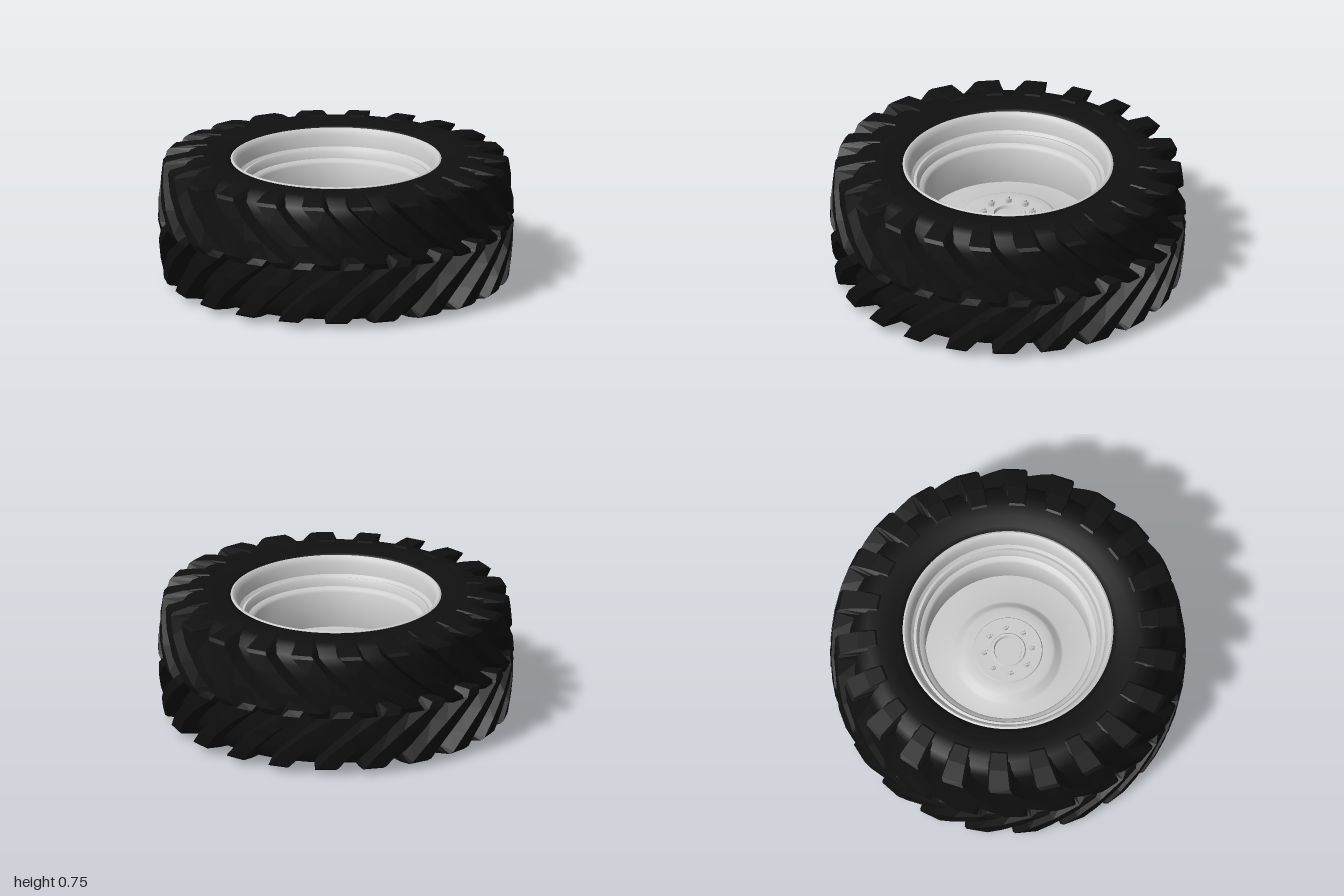
import * as THREE from 'three';
import { toCreasedNormals } from 'three/addons/utils/BufferGeometryUtils.js';

const MID = 0.3725; // mid height of the wheel, which lies flat on its side
const LUGS = 22;

const rubber = new THREE.MeshStandardMaterial({ color: 0x101010 });
const rubberFlat = new THREE.MeshStandardMaterial({ color: 0x101010, flatShading: true });
const steel = new THREE.MeshStandardMaterial({ color: 0xcccccc });

const lathe = (pts, segments) =>
  new THREE.LatheGeometry(pts.map(([r, y]) => new THREE.Vector2(r, y)), segments);

// Mirrors a half profile [radius, height above the middle] into a bottom-to-top one
function mirrorProfile(half) {
  const top = half.map(([r, h]) => [r, MID + h]);
  const bottom = half.map(([r, h]) => [r, MID - h]).reverse();
  return [...bottom, ...top];
}

// Lug stations from the tread centre over the shoulder:
// angle, base radius, base height, top radius, top height, base half width, top half width
const STATIONS = [
  [0.03, 0.885, -0.035, 0.985, -0.02, 0.075, 0.045],
  [0.0, 0.885, 0.01, 1.0, 0.015, 0.085, 0.05],
  [-0.15, 0.885, 0.12, 0.996, 0.12, 0.085, 0.055],
  [-0.28, 0.875, 0.23, 0.985, 0.235, 0.085, 0.06],
  [-0.36, 0.85, 0.3, 0.972, 0.325, 0.085, 0.062],
  [-0.375, 0.82, 0.335, 0.955, 0.341, 0.085, 0.062],
  [-0.385, 0.77, 0.355, 0.85, 0.362, 0.085, 0.06],
  [-0.39, 0.72, 0.358, 0.75, 0.3725, 0.08, 0.055],
];

// One curved tread bar; side is +1 for the upper row and -1 for the lower row
function lugGeometry(side) {
  const pos = [], index = [];
  const add = (a, r, h) => pos.push(Math.sin(a) * r, MID + side * h, Math.cos(a) * r);
  const quad = (a, b, c, d) =>
    side > 0 ? index.push(a, b, c, a, c, d) : index.push(a, c, b, a, d, c);
  STATIONS.forEach(([a, rb, hb, rt, ht, wb, wt], i) => {
    add(a - wb, rb, hb);
    add(a - wt, rt, ht);
    add(a + wt, rt, ht);
    add(a + wb, rb, hb);
    if (i === 0) return;
    const p = (i - 1) * 4, q = i * 4;
    for (let j = 0; j < 3; j++) quad(p + j, p + j + 1, q + j + 1, q + j);
  });
  const last = (STATIONS.length - 1) * 4;
  quad(3, 2, 1, 0);
  quad(last, last + 1, last + 2, last + 3);
  const g = new THREE.BufferGeometry();
  g.setAttribute('position', new THREE.Float32BufferAttribute(pos, 3));
  g.setIndex(index);
  const flat = g.toNonIndexed();
  flat.computeVertexNormals();
  return flat;
}

export function createModel() {
  const wheel = new THREE.Group();
  wheel.name = 'tractorWheel';
  const add = (name, geometry, material, parent = wheel) => {
    const mesh = new THREE.Mesh(geometry, material);
    mesh.name = name;
    parent.add(mesh);
    return mesh;
  };

  // Tyre carcass: bulging sidewalls and a slightly crowned tread
  const tyreHalf = [
    [0.9, 0.06], [0.897, 0.18], [0.888, 0.25], [0.87, 0.305], [0.835, 0.343],
    [0.79, 0.362], [0.74, 0.367], [0.68, 0.361], [0.62, 0.348], [0.59, 0.342], [0.58, 0.3],
  ];
  add('tyre', lathe(mirrorProfile(tyreHalf), 88), rubber);

  // Two staggered rows of tread bars forming chevrons
  for (const side of [1, -1]) {
    const row = new THREE.Group();
    row.name = side > 0 ? 'upperTreadBars' : 'lowerTreadBars';
    wheel.add(row);
    const geometry = lugGeometry(side);
    for (let i = 0; i < LUGS; i++) {
      const lug = add('treadBar', geometry, rubberFlat, row);
      lug.rotation.y = ((i + (side > 0 ? 0 : 0.5)) / LUGS) * Math.PI * 2;
    }
  }

  // Rim: flanges, bead ridges and drop centre, inner surface running top to bottom
  const rimHalf = [
    [0.465, 0.17], [0.475, 0.185], [0.498, 0.195], [0.505, 0.225], [0.515, 0.24],
    [0.53, 0.235], [0.545, 0.25], [0.555, 0.315], [0.57, 0.343], [0.582, 0.35], [0.592, 0.345],
  ];
  const rimInner = mirrorProfile(rimHalf).reverse();
  const rim = lathe([...rimInner, rimInner[0]], 80);
  add('rim', toCreasedNormals(rim, 0.6), steel);

  // Centre disc with raised hub dish above and a cupped bore below
  const disc = lathe([
    [0, 0.3], [0.075, 0.3], [0.08, 0.25], [0.095, 0.245], [0.1, 0.225], [0.19, 0.225],
    [0.195, 0.232], [0.22, 0.232], [0.232, 0.212], [0.467, 0.212],
    [0.467, 0.335], [0.31, 0.335], [0.295, 0.341], [0.268, 0.378], [0.25, 0.386],
    [0.195, 0.386], [0.19, 0.394], [0.1, 0.394], [0.095, 0.402], [0.08, 0.402], [0.075, 0.385], [0, 0.385],
  ], 72);
  add('centreDisc', toCreasedNormals(disc, 0.6), steel);

  // Ring of eight wheel bolts on both hub faces
  const bolts = new THREE.Group();
  bolts.name = 'wheelBolts';
  wheel.add(bolts);
  const nut = toCreasedNormals(new THREE.CylinderGeometry(0.019, 0.019, 0.026, 6), 0.5);
  const stud = toCreasedNormals(new THREE.CylinderGeometry(0.01, 0.01, 0.04, 12), 0.6);
  for (let i = 0; i < 8; i++) {
    const a = (i / 8) * Math.PI * 2;
    for (const [y, dir] of [[0.394, 1], [0.225, -1]]) {
      add('nut', nut, steel, bolts).position.set(Math.sin(a) * 0.135, y + dir * 0.012, Math.cos(a) * 0.135);
      add('stud', stud, steel, bolts).position.set(Math.sin(a) * 0.135, y + dir * 0.017, Math.cos(a) * 0.135);
    }
  }
  return wheel;
}
